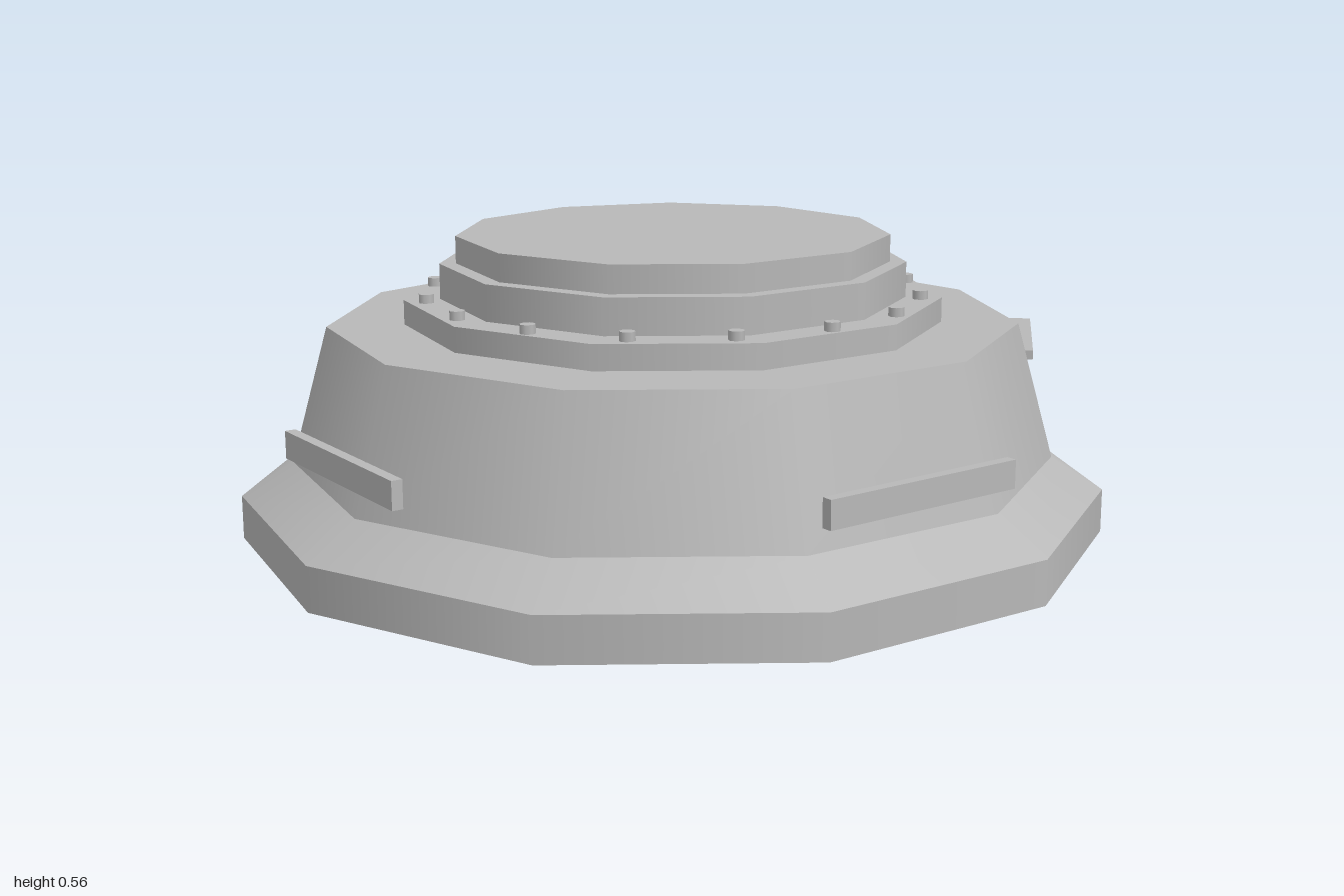
import * as THREE from 'three';

const CX = -0.015, CZ = 0.205; // axis of the round body
const SIDES = 11, TURN = THREE.MathUtils.degToRad(-6.1);

export function createModel() {
  const model = new THREE.Group();
  model.name = 'hatch';
  const grey = new THREE.MeshStandardMaterial({ color: 0xb8b8b8 });
  grey.name = 'grey';

  const add = (name, geometry, x, y, z, parent = model) => {
    const mesh = new THREE.Mesh(geometry, grey);
    mesh.name = name;
    mesh.position.set(x, y, z);
    parent.add(mesh);
    return mesh;
  };

  // Stacked eleven-sided tiers: name, bottom radius, top radius, bottom y, top y
  const tiers = [
    ['baseRim', 0.8, 0.8, 0.01, 0.09],
    ['baseSlope', 0.8, 0.705, 0.09, 0.15],
    ['taperedBody', 0.705, 0.636, 0.15, 0.4],
    ['boltFlange', 0.496, 0.496, 0.4, 0.445],
    ['upperRing', 0.43, 0.43, 0.445, 0.51],
    ['lid', 0.4, 0.4, 0.51, 0.56],
  ];
  for (const [name, rBottom, rTop, y0, y1] of tiers) {
    const tier = new THREE.CylinderGeometry(rTop, rBottom, y1 - y0, SIDES, 1, false, TURN);
    add(name, tier, CX, (y0 + y1) / 2, CZ);
  }

  // Ring of bolts on the flange
  const bolts = new THREE.Group();
  bolts.name = 'bolts';
  model.add(bolts);
  const bolt = new THREE.CylinderGeometry(0.014, 0.014, 0.02, 8);
  for (let i = 0; i < 16; i++) {
    const a = (i / 16) * Math.PI * 2;
    add('bolt', bolt, CX + Math.sin(a) * 0.457, 0.451, CZ + Math.cos(a) * 0.457, bolts);
  }

  // Four upright bars on the diagonals
  const bar = new THREE.BoxGeometry(0.4, 0.05, 0.02);
  for (let i = 0; i < 4; i++) {
    const a = Math.PI / 4 + (i * Math.PI) / 2;
    add('sideBar', bar, CX + Math.sin(a) * 0.685, 0.217, CZ + Math.cos(a) * 0.685).rotation.y = a;
  }

  // Rear lamps: side profile (z, y) extruded across, under a flat cover
  const profile = [
    [-0.06, 0.23], [-0.06, 0.14], [-0.085, 0.115], [-0.13, 0.102], [-0.24, 0.09], [-0.27, 0.07],
    [-0.3, 0.058], [-0.345, 0.075], [-0.36, 0.11], [-0.365, 0.23], [-0.35, 0.27],
    [-0.29, 0.283], [-0.09, 0.283], [-0.068, 0.265],
  ].map(([z, y]) => new THREE.Vector2(z, y));
  const lampBody = new THREE.ExtrudeGeometry(new THREE.Shape(profile), {
    depth: 0.16, bevelEnabled: true, bevelThickness: 0.022, bevelSize: 0.02, bevelOffset: -0.02, bevelSegments: 2,
  });
  lampBody.translate(0, 0, -0.08).rotateY(-Math.PI / 2);
  const lampCover = new THREE.BoxGeometry(0.244, 0.018, 0.335);
  for (const side of [-1, 1]) {
    const x = CX + side * 0.548;
    add('lampBody', lampBody, x, 0, 0);
    add('lampCover', lampCover, x, 0.294, -0.211);
  }

  // Bent rear pipe: three hexagonal sections placed along the path
  const sections = [
    { at: [-0.015, 0.077, -0.56], yaw: 0 },
    { at: [-0.015, 0.077, -0.812], yaw: 0.22 },
    { at: [-0.105, 0.031, -0.985], yaw: 0.46 },
  ];
  const pipe = new THREE.CylinderGeometry(0.029, 0.029, 2, 6, 2).rotateX(-Math.PI / 2);
  const p = pipe.attributes.position;
  for (let i = 0; i < p.count; i++) {
    const { at, yaw } = sections[Math.round(1 - p.getZ(i))];
    const across = p.getX(i);
    p.setXYZ(i, at[0] + across * Math.cos(yaw), at[1] + p.getY(i), at[2] - across * Math.sin(yaw));
  }
  pipe.computeVertexNormals();
  add('rearPipe', pipe, 0, 0, 0);

  return model;
}
